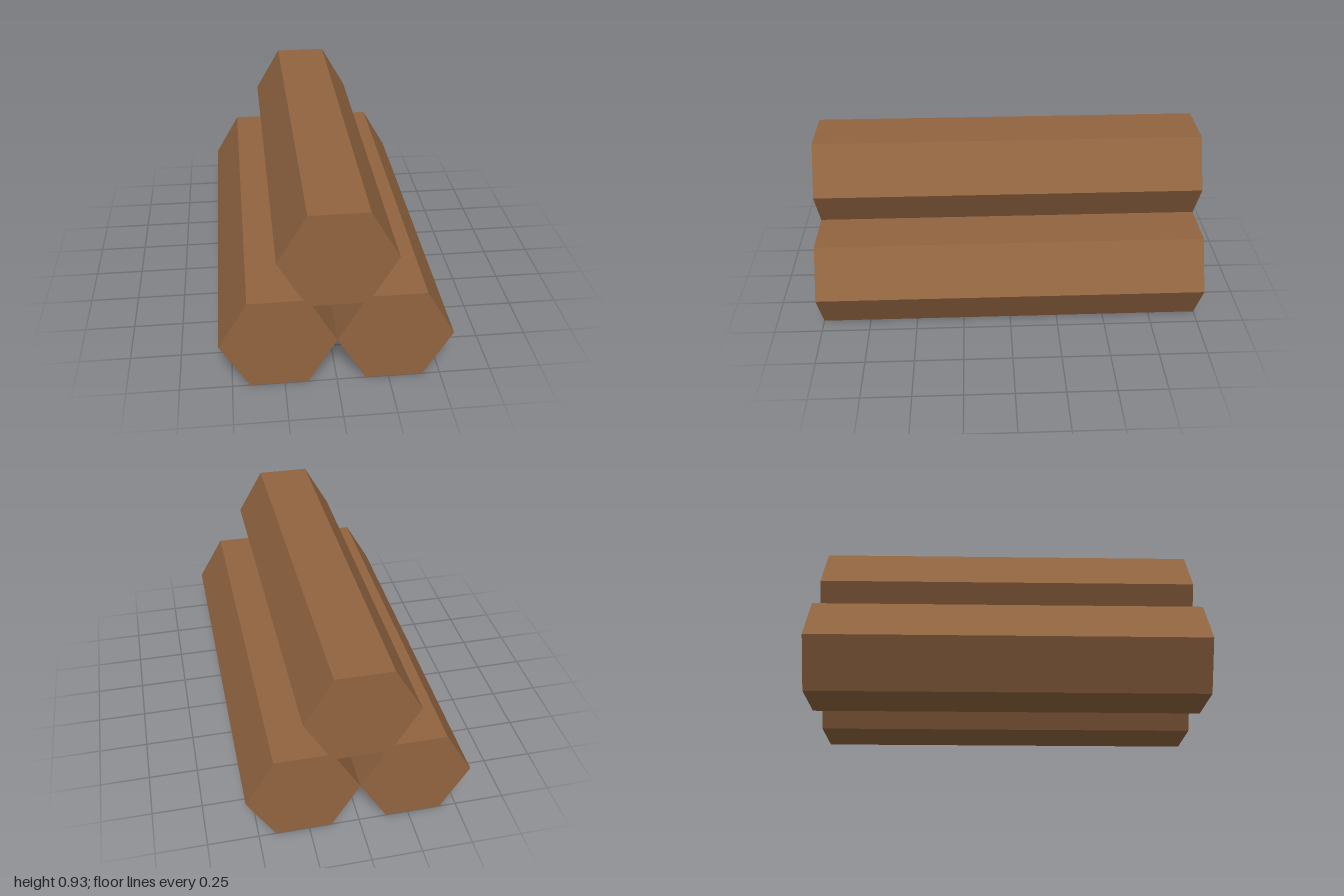
import * as THREE from 'three';

export function createModel() {
  const group = new THREE.Group();
  group.name = 'logPile';

  const wood = new THREE.MeshStandardMaterial({ color: 0x916440, flatShading: true });
  wood.name = 'brown wood';

  const radius = 0.277;
  const apothem = radius * Math.cos(Math.PI / 6);

  // Hexagonal log lying along z, with flat faces at top and bottom
  const logGeometry = new THREE.CylinderGeometry(radius, radius, 2, 6);
  logGeometry.rotateY(Math.PI / 6);
  logGeometry.rotateX(Math.PI / 2);

  function addLog(name, x, y) {
    const log = new THREE.Mesh(logGeometry, wood);
    log.name = name;
    log.position.set(x, y, 0);
    group.add(log);
  }

  // Two logs side by side, one resting on top
  addLog('leftLog', radius, apothem);
  addLog('rightLog', -radius, apothem);
  addLog('topLog', 0, 0.687);

  return group;
}
